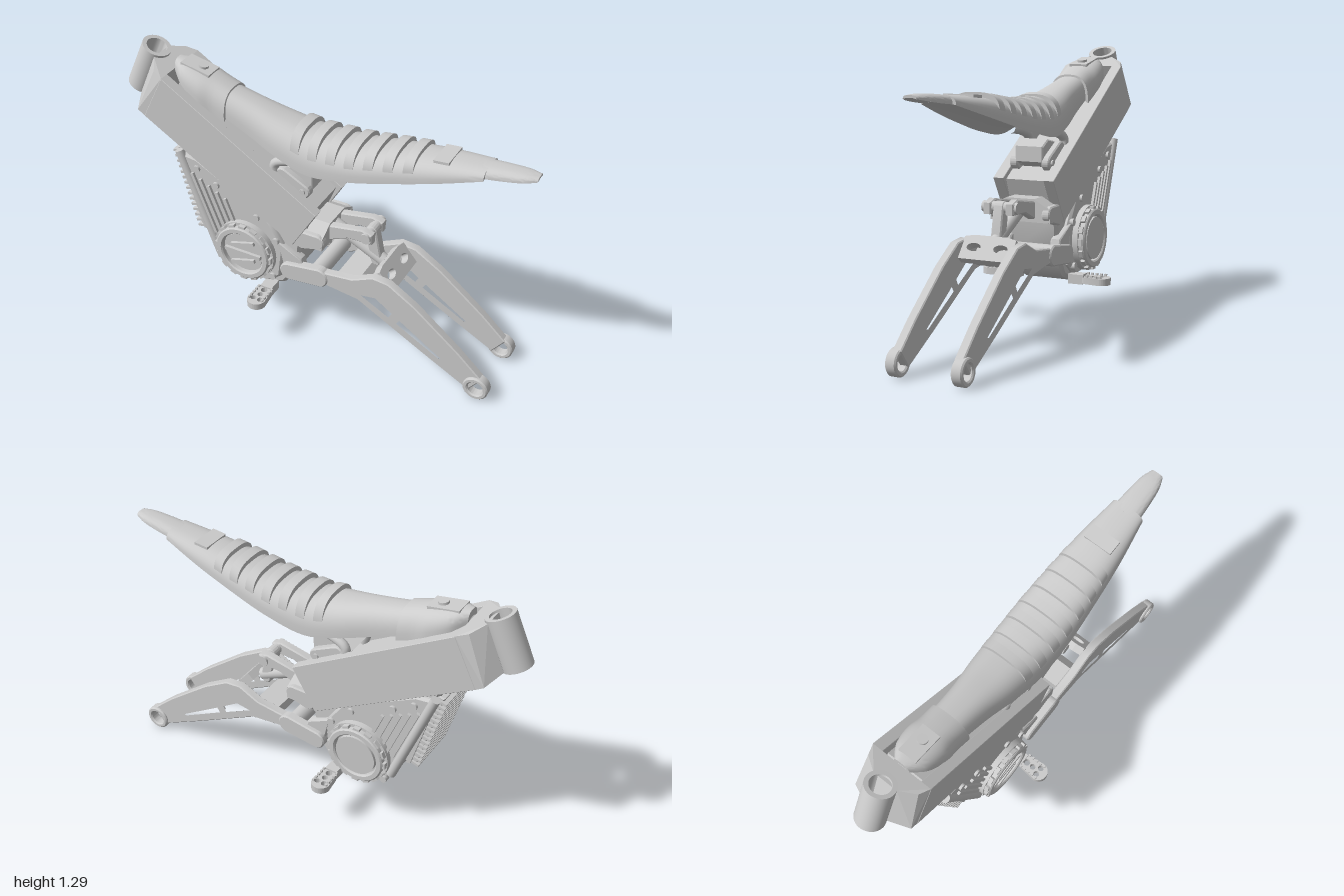
import * as THREE from 'three';
import { toCreasedNormals } from 'three/addons/utils/BufferGeometryUtils.js';
import { ConvexGeometry } from 'three/addons/geometries/ConvexGeometry.js';

const mat = new THREE.MeshStandardMaterial({ color: 0xcccccc });
const V = (x, y, z = 0) => new THREE.Vector3(x, y, z);

export function createModel() {
  const model = new THREE.Group();
  const add = (name, geo, parent = model) => {
    const m = new THREE.Mesh(geo, mat);
    m.name = name;
    parent.add(m);
    return m;
  };
  const poly = (pts) => new THREE.Shape(pts.map(p => new THREE.Vector2(...p)));
  const circle = (x, y, r) => new THREE.Path().absarc(x, y, r, 0, Math.PI * 2);

  // Flat part: side outline extruded between two z values
  const plate = (name, shape, za, zb, holes = [], bevel = 0.006) => {
    if (Array.isArray(shape)) shape = poly(shape);
    shape.holes.push(...holes);
    const z0 = Math.min(za, zb), z1 = Math.max(za, zb);
    const geo = new THREE.ExtrudeGeometry(shape, {
      depth: z1 - z0 - 2 * bevel, bevelEnabled: bevel > 0, bevelSize: bevel, bevelOffset: -bevel,
      bevelThickness: bevel, bevelSegments: 1, curveSegments: 20,
    }).translate(0, 0, z0 + bevel);
    return add(name, toCreasedNormals(geo, 0.6));
  };
  // Round-ended outline between two points
  const stadium = (ax, ay, bx, by, ra, rb = ra) => {
    const a = Math.atan2(by - ay, bx - ax), s = new THREE.Shape();
    s.absarc(ax, ay, ra, a + Math.PI / 2, a + Math.PI * 1.5);
    s.absarc(bx, by, rb, a - Math.PI / 2, a + Math.PI / 2);
    return s;
  };
  const rod = (name, p, q, r, seg = 20) => {
    const d = q.clone().sub(p);
    const m = add(name, new THREE.CylinderGeometry(r, r, d.length(), seg));
    m.position.copy(p).add(q).multiplyScalar(0.5);
    m.quaternion.setFromUnitVectors(V(0, 1, 0), d.normalize());
    return m;
  };
  const box = (name, x, y, z, w, h, d, rot = 0) => {
    const m = add(name, new THREE.BoxGeometry(w, h, d));
    m.position.set(x, y, z);
    m.rotation.z = rot;
    return m;
  };
  // Domed body from stations [x, top, bottom, half width], with a hollowed underside
  const loft = (name, stations, steps = 28) => {
    const curves = [0, 2].map(k => new THREE.CatmullRomCurve3(stations.map(s =>
      k ? V(s[0], s[3]) : V(s[0], s[1], s[2]))));
    const pos = [], idx = [], N = 30, T = 20;
    for (let i = 0; i <= steps; i++) {
      const a = curves[0].getPoint(i / steps), w = curves[1].getPoint(i / steps).y;
      for (let j = 0; j < N; j++) {
        if (j <= T) {
          const t = j / T * Math.PI, c = Math.cos(t), s = Math.max(Math.sin(t), 0);
          pos.push(a.x, a.z + (a.y - a.z) * s ** 0.75, w * Math.sign(c) * Math.abs(c) ** 0.75);
        } else {
          const u = -1 + 2 * (j - T) / (N - T);
          pos.push(a.x, a.z + 0.3 * (a.y - a.z) * (1 - u * u), w * u);
        }
      }
    }
    for (let i = 0; i < steps; i++) for (let j = 0; j < N; j++) {
      const a = i * N + j, b = i * N + (j + 1) % N;
      idx.push(a, a + N, b, b, a + N, b + N);
    }
    for (const i of [0, steps]) {
      const c = pos.length / 3, k = i * N;
      pos.push(pos[k * 3], pos[(k + T / 2) * 3 + 1] * 0.5 + pos[k * 3 + 1] * 0.5, 0);
      for (let j = 0; j < N; j++) {
        const a = k + j, b = k + (j + 1) % N;
        idx.push(c, i ? b : a, i ? a : b);
      }
    }
    const geo = new THREE.BufferGeometry();
    geo.setAttribute('position', new THREE.Float32BufferAttribute(pos, 3));
    geo.setIndex(idx);
    return add(name, toCreasedNormals(geo, 0.7));
  };

  // Steering head: hollow tube and flared neck
  const head = add('headTube', toCreasedNormals(new THREE.LatheGeometry(
    [[0.048, -0.12], [0.068, -0.12], [0.068, 0.12], [0.048, 0.12], [0.048, -0.12]]
      .map(p => new THREE.Vector2(...p)), 40), 0.6));
  head.position.set(-0.888, 1.154, 0);
  head.rotation.z = -0.43;
  const neck = [];
  for (const s of [-1, 1]) neck.push(V(-0.815, 1.24, s * 0.06), V(-0.905, 1.035, s * 0.06),
    V(-0.77, 1.215, s * 0.13), V(-0.865, 1.0, s * 0.15), V(-0.72, 1.197, s * 0.15), V(-0.83, 0.976, s * 0.15));
  add('neck', new ConvexGeometry(neck));

  // Main spars and the box between them
  const spar = [[-0.72, 1.197], [0.06, 0.716], [-0.06, 0.515], [-0.83, 0.976]];
  for (const s of [-1, 1]) plate('mainSpar', spar, s * 0.1, s * 0.152, [], 0.002);
  plate('batteryBox', [[-0.7, 1.12], [-0.06, 0.73], [-0.12, 0.58], [-0.78, 0.97]], -0.105, 0.105);
  plate('sparBridge', [[-0.1, 0.79], [0.03, 0.71], [-0.03, 0.56], [-0.16, 0.62]], -0.105, 0.105);

  // Seat, front cover and tail
  const seat = [[-0.47, 1.165, 1.06, 0.085], [-0.3, 1.125, 0.995, 0.1], [-0.15, 1.09, 0.945, 0.125],
    [0, 1.067, 0.91, 0.14], [0.2, 1.07, 0.94, 0.143], [0.4, 1.1, 0.99, 0.13],
    [0.6, 1.125, 1.045, 0.11], [0.79, 1.14, 1.1, 0.08]];
  loft('seat', seat, 40);
  loft('frontCover', [[-0.72, 1.242, 1.19, 0.04], [-0.66, 1.235, 1.15, 0.085], [-0.57, 1.213, 1.1, 0.105],
    [-0.5, 1.19, 1.06, 0.1], [-0.43, 1.165, 1.03, 0.102]]);
  loft('tail', [[0.76, 1.138, 1.1, 0.066], [0.85, 1.147, 1.11, 0.06], [0.95, 1.152, 1.125, 0.048], [1, 1.15, 1.135, 0.03]]);
  const seatAt = (x) => {
    const i = Math.max(seat.findIndex(s => s[0] > x), 1), a = seat[i - 1], b = seat[i];
    return a.map((v, k) => v + (b[k] - v) * (x - a[0]) / (b[0] - a[0]));
  };
  for (let i = 0; i < 7; i++) {
    const x = -0.06 + i * 0.089;
    loft('seatRib', [x - 0.022, x + 0.022].map(u => {
      const [, t, b, w] = seatAt(u);
      return [u, t + 0.022, b + 0.04, w * 0.95];
    }), 2);
  }
  box('seatPatch', 0.6, 1.124, 0, 0.07, 0.012, 0.14, 0.09);
  box('coverPlate', -0.61, 1.218, 0, 0.15, 0.016, 0.09, -0.2);
  rod('coverCap', V(-0.595, 1.2), V(-0.588, 1.233), 0.024);

  // Seat support struts and their foot
  for (const s of [-1, 1]) {
    const path = new THREE.CatmullRomCurve3([V(0.02, 0.94, s * 0.08), V(-0.1, 0.92, s * 0.085),
      V(-0.18, 0.885, s * 0.09), V(-0.17, 0.8, s * 0.09)]);
    add('seatStrut', new THREE.TubeGeometry(path, 20, 0.022, 12));
    plate('strutFoot', stadium(-0.14, 0.84, -0.035, 0.785, 0.035), s * 0.06, s * 0.1);
    rod('footBolt', V(-0.035, 0.785, s * 0.05), V(-0.035, 0.785, s * 0.108), 0.014);
  }
  plate('seatMount', [[-0.2, 0.86], [-0.06, 0.89], [0, 0.86], [0, 0.79], [-0.1, 0.74]], -0.07, 0.07);

  // Motor case with stepped side covers
  const caseShape = [[-0.79, 0.96], [-0.67, 0.86], [-0.46, 0.3], [-0.41, 0.25], [-0.2, 0.215], [-0.12, 0.25],
    [-0.05, 0.36], [-0.03, 0.53]];
  plate('motorCase', caseShape, -0.125, 0.125, [], 0.015);
  plate('sideCover', [[-0.66, 0.83], [-0.46, 0.31], [-0.4, 0.26], [-0.2, 0.24], [-0.13, 0.3], [-0.11, 0.48],
    [-0.2, 0.62], [-0.56, 0.82]], -0.148, 0.148, [], 0.012);
  const M = [-0.305, 0.405];
  const ring = (r) => new THREE.Shape().absarc(...M, r, 0, Math.PI * 2);
  for (const s of [-1, 1]) {
    rod('motorDrum', V(...M, 0), V(...M, s * 0.175), 0.155, 40);
    plate('motorRing', ring(0.14), s * 0.17, s * 0.203, [circle(...M, 0.108)]);
    for (let i = 0; i < 16; i++) {
      const a = i * Math.PI / 8;
      box('ringLug', M[0] + 0.14 * Math.cos(a), M[1] + 0.14 * Math.sin(a), s * 0.183, 0.022, 0.032, 0.024, a);
    }
    for (let i = 0; i < 5; i++) {
      const L = 0.32 - 0.03 * i;
      box('coverRib', -0.585 + 0.043 * i + 0.18 * L, 0.74 - 0.022 * i - 0.46 * L, s * 0.15, 0.015, L, 0.022, 0.37);
    }
    rod('coverRail', V(-0.655, 0.84, s * 0.142), V(-0.462, 0.33, s * 0.142), 0.022);
    for (const [x, y] of [[-0.56, 0.77], [-0.46, 0.71], [-0.25, 0.6], [-0.43, 0.29], [-0.17, 0.29], [-0.15, 0.5]])
      rod('coverBolt', V(x, y, s * 0.13), V(x, y, s * 0.16), 0.017, 16);
  }
  rod('driveHub', V(...M, 0.17), V(...M, 0.183), 0.1, 40);
  for (const k of [-1, 0, 1]) box('hubBar', M[0], M[1] + k * 0.05, 0.187, k ? 0.13 : 0.19, 0.018, 0.022, k ? 0.3 : 0);
  rod('motorCap', V(...M, -0.17), V(...M, -0.2), 0.1, 40);

  // Finned cooler in front of the case
  plate('cooler', [[-0.685, 0.84], [-0.64, 0.85], [-0.5, 0.42], [-0.575, 0.42]], -0.12, 0.12);
  for (let i = 0; i < 15; i++) {
    const t = i / 14;
    box('coolerFin', -0.67 + 0.11 * t, 0.825 - 0.39 * t, 0, 0.06, 0.012, 0.26, 0.27);
  }
  for (const s of [-1, 1]) plate('coolerFrame', [[-0.66, 0.83], [-0.64, 0.83], [-0.53, 0.43], [-0.55, 0.43]], s * 0.11, s * 0.138, [], 0);

  // Foot pegs with drilled plates and teeth
  for (const s of [-1, 1]) {
    const shape = stadium(-0.18, s * 0.22, -0.18, s * 0.285, 0.036, 0.044);
    for (const [x, z, r] of [[-0.197, 0.285, 0.014], [-0.162, 0.285, 0.014], [-0.18, 0.25, 0.014], [-0.18, 0.215, 0.016]])
      shape.holes.push(circle(x, s * z, r));
    const geo = new THREE.ExtrudeGeometry(shape, { depth: 0.032, bevelEnabled: false, curveSegments: 14 });
    const peg = add('footPeg', toCreasedNormals(geo.rotateX(Math.PI / 2), 0.6));
    peg.position.y = 0.247;
    for (let i = 0; i < 5; i++) for (const k of [-1, 1])
      box('pegTooth', -0.18 + k * 0.034, 0.25, s * (0.205 + i * 0.022), 0.01, 0.014, 0.011);
    box('pegBracket', -0.18, 0.232, s * 0.165, 0.06, 0.045, 0.07);
  }

  // Swingarm: mirrored truss arms, pivot plates, axle eyes
  const arm = [[0.08, 0.42], [0.25, 0.44], [0.35, 0.488], [0.43, 0.48], [0.56, 0.4], [0.78, 0.225], [0.9, 0.115],
    [0.84, 0.035], [0.62, 0.15], [0.28, 0.335], [0.08, 0.36]];
  for (const s of [-1, 1]) {
    plate('swingarm', arm, s * 0.122, s * 0.165,
      [poly([[0.29, 0.37], [0.37, 0.385], [0.46, 0.325], [0.44, 0.288]]),
        poly([[0.47, 0.273], [0.49, 0.305], [0.71, 0.16], [0.69, 0.152]])], 0.005);
    plate('axleEye', new THREE.Shape().absarc(0.877, 0.065, 0.06, 0, Math.PI * 2), s * 0.126, s * 0.177, [circle(0.877, 0.065, 0.036)]);
    plate('pivotPlate', stadium(-0.075, 0.365, 0.08, 0.385, 0.045, 0.048), s * 0.125, s * 0.172);
    plate('upperMount', stadium(-0.015, 0.555, 0.06, 0.565, 0.048, 0.038), s * 0.11, s * 0.15);
    plate('caseLug', [[-0.14, 0.5], [-0.02, 0.44], [0, 0.36], [-0.1, 0.32]], s * 0.1, s * 0.15);
  }
  rod('pivotShaft', V(0.06, 0.39, -0.14), V(0.06, 0.39, 0.14), 0.04);
  // Windowed bridge joining the arms
  const window_ = (z) => new THREE.Path().absellipse(z, 0, 0.034, 0.02, 0, Math.PI * 2);
  const bridge = poly([[-0.125, -0.06], [0.125, -0.06], [0.125, 0.05], [0.08, 0.06], [-0.08, 0.06], [-0.125, 0.05]]);
  bridge.holes.push(window_(-0.065), window_(0.065));
  const bridgeMesh = add('armBridge', new THREE.ExtrudeGeometry(bridge, { depth: 0.04, bevelEnabled: false }));
  bridgeMesh.position.set(0.37, 0.435, 0);
  bridgeMesh.rotation.set(0, Math.PI / 2, 0);
  bridgeMesh.rotateX(-0.7);
  plate('lowerBridge', [[0.16, 0.42], [0.27, 0.43], [0.32, 0.37], [0.26, 0.35], [0.16, 0.37]], -0.125, 0.125);

  // Suspension linkage
  const yoke = new THREE.ExtrudeGeometry(poly([[-0.15, 0.53], [0.15, 0.53], [0.148, 0.59], [0.07, 0.635], [-0.07, 0.635], [-0.148, 0.59]]),
    { depth: 0.09, bevelEnabled: false });
  add('linkYoke', yoke.rotateY(Math.PI / 2).translate(0, 0, 0));
  for (const s of [-1, 1]) plate('rocker', [[0.03, 0.57], [0.06, 0.62], [0.17, 0.64], [0.25, 0.655], [0.3, 0.64], [0.3, 0.59],
    [0.18, 0.585], [0.08, 0.54]], s * 0.035, s * 0.075);
  rod('rockerPin', V(0.27, 0.62, -0.085), V(0.27, 0.62, 0.085), 0.025);
  plate('pullLink', stadium(0.27, 0.62, 0.3, 0.47, 0.028), -0.025, 0.025);
  rod('damper', V(0.06, 0.6, 0), V(0.33, 0.47, 0), 0.03);
  return model;
}
